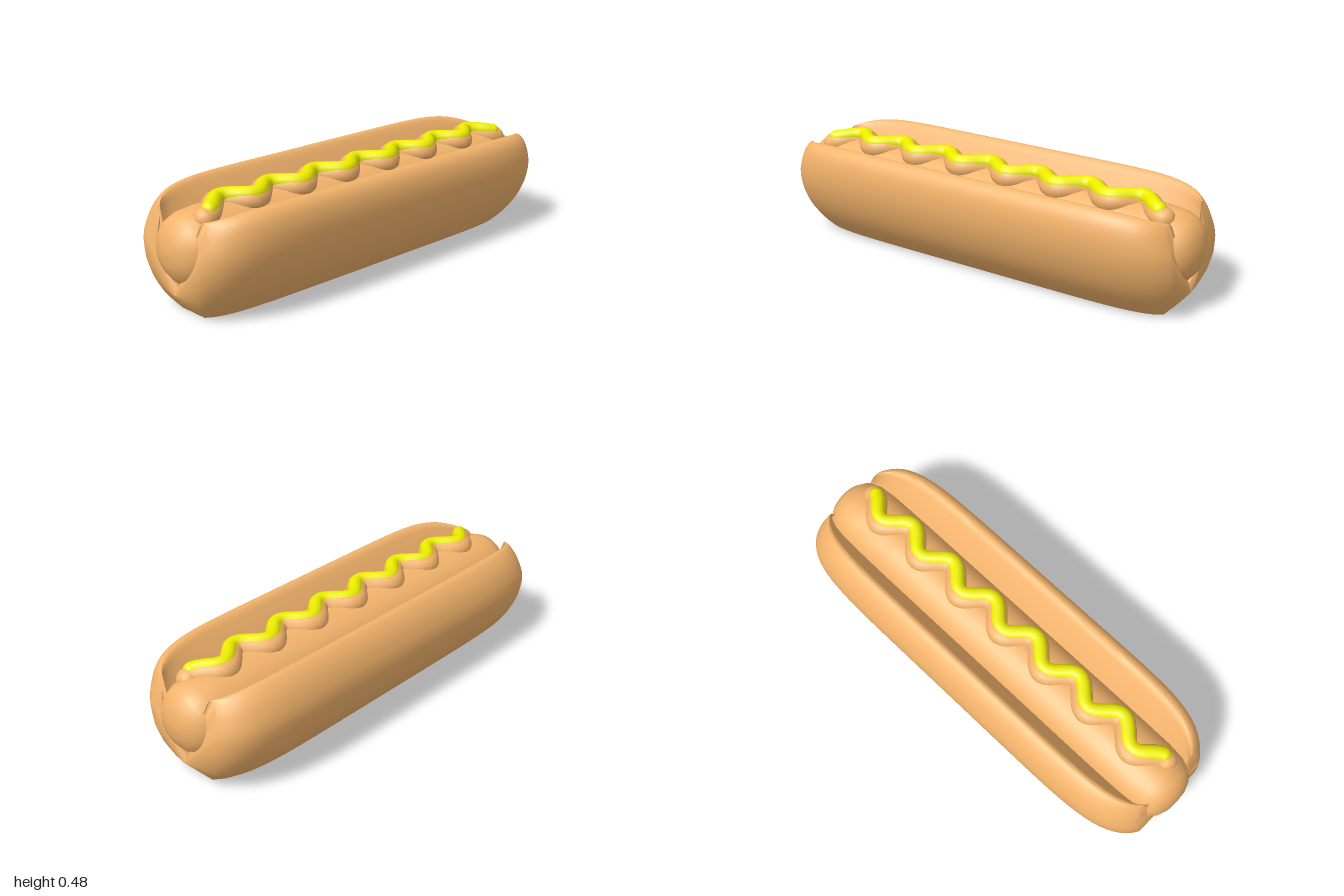
import * as THREE from 'three';
import { toCreasedNormals } from 'three/addons/utils/BufferGeometryUtils.js';

const breadMat = new THREE.MeshStandardMaterial({ color: 0xf4b46c });
const mustardMat = new THREE.MeshStandardMaterial({ color: 0xeeee00 });

function add(group, name, geometry, material) {
  const mesh = new THREE.Mesh(geometry, material);
  mesh.name = name;
  group.add(mesh);
  return mesh;
}

// Linear lookup in a short table of [key, value] pairs
function lookup(table, k) {
  for (let i = 1; i < table.length; i++) {
    const [k0, v0] = table[i - 1], [k1, v1] = table[i];
    if (k <= k1) return v0 + (v1 - v0) * Math.max(0, (k - k0) / (k1 - k0));
  }
  return table[table.length - 1][1];
}

// Bun cross-section as [z, y]: front flap, slit, back flap
const frontFlap = [[0.14, 0], [0.19, 0.045], [0.265, 0.14], [0.312, 0.25], [0.325, 0.35],
  [0.312, 0.42], [0.285, 0.453], [0.258, 0.458], [0.235, 0.435]];
const slit = [[0.165, 0.32], [0.11, 0.2], [0.01, 0.12], [-0.09, 0.2], [-0.14, 0.32]];
const backFlap = [[-0.2, 0.435], [-0.225, 0.467], [-0.256, 0.458], [-0.3, 0.4], [-0.325, 0.3],
  [-0.295, 0.175], [-0.225, 0.07], [-0.11, 0]];
// Half length of the bun at each height
const halfLength = [[0, 0.91], [0.05, 0.945], [0.12, 0.975], [0.2, 0.992], [0.3, 0.99],
  [0.4, 0.965], [0.47, 0.945]];

function smoothPoints(points, n) {
  return new THREE.SplineCurve(points.map(p => new THREE.Vector2(...p))).getPoints(n);
}

function bunGeometry() {
  const front = smoothPoints(frontFlap, 22);
  const back = smoothPoints(backFlap, 22);
  const inner = slit.map(p => new THREE.Vector2(...p));
  const section = [...front, ...inner, ...back];
  const isInner = i => i >= front.length && i < front.length + inner.length;
  const n = section.length, rings = 48, end = 0.975;
  const pos = [], index = [];

  for (let j = 0; j <= rings; j++) {
    const s = end * Math.sin((j / rings - 0.5) * Math.PI);
    const narrow = Math.pow(1 - Math.pow(Math.abs(s), 7), 0.31);
    const drop = 1 - 0.22 * Math.pow(Math.abs(s), 9);
    section.forEach((p, i) => {
      const y = p.y > 0.2 ? 0.2 + (p.y - 0.2) * drop : p.y;
      pos.push(s * lookup(halfLength, p.y), y, p.x * (isInner(i) ? Math.sqrt(narrow) : narrow));
    });
  }
  for (let j = 0; j < rings; j++) {
    for (let i = 0; i < n; i++) {
      const a = j * n + i, b = j * n + (i + 1) % n;
      index.push(a, a + n, b, b, a + n, b + n);
    }
  }
  // Slightly domed end caps
  const c = pos.length / 3;
  pos.push(-0.965, 0.09, 0.005, 0.965, 0.09, 0.005);
  for (let i = 0; i < n; i++) {
    const k = (i + 1) % n, last = rings * n;
    index.push(c, i, k, c + 1, last + k, last + i);
  }
  const geo = new THREE.BufferGeometry();
  geo.setAttribute('position', new THREE.Float32BufferAttribute(pos, 3));
  geo.setIndex(index);
  return toCreasedNormals(geo, 0.7);
}

// Sausage: a blunt-ended body turned about the x axis
function sausageGeometry() {
  const half = [[0, 1], [0.05, 0.996], [0.095, 0.98], [0.13, 0.95], [0.15, 0.9], [0.158, 0.82], [0.16, 0.6]];
  const profile = [...half.map(([r, x]) => [r, -x]), ...[...half].reverse()];
  const geo = new THREE.LatheGeometry(profile.map(p => new THREE.Vector2(...p)), 32);
  return geo.rotateZ(-Math.PI / 2).translate(0, 0.27, 0.01);
}

// Wavy line along the top of the sausage, sinking a little at both ends
function waveCurve(halfSpan, y, z, swing) {
  const points = [];
  for (let i = 0; i <= 84; i++) {
    const x = halfSpan * (i / 42 - 1);
    const dip = 0.03 * Math.pow(Math.abs(x) / 0.88, 14);
    points.push(new THREE.Vector3(x, y - dip, z - swing * Math.cos(2 * Math.PI * x / 0.245)));
  }
  return new THREE.CatmullRomCurve3(points);
}

function addSqueezedLine(group, name, curve, radius, material) {
  const line = new THREE.Group();
  line.name = name;
  add(line, name + 'Strand', new THREE.TubeGeometry(curve, 200, radius, 12), material);
  for (const t of [0, 1]) {
    add(line, name + 'End', new THREE.SphereGeometry(radius, 14, 10), material)
      .position.copy(curve.getPoint(t));
  }
  group.add(line);
}

export function createModel() {
  const model = new THREE.Group();
  model.name = 'hotDog';
  add(model, 'bun', bunGeometry(), breadMat);
  add(model, 'sausage', sausageGeometry(), breadMat);
  addSqueezedLine(model, 'sauceRidge', waveCurve(0.86, 0.42, 0.032, 0.042), 0.047, breadMat);
  addSqueezedLine(model, 'mustard', waveCurve(0.84, 0.446, 0.042, 0.038), 0.032, mustardMat);
  return model;
}
